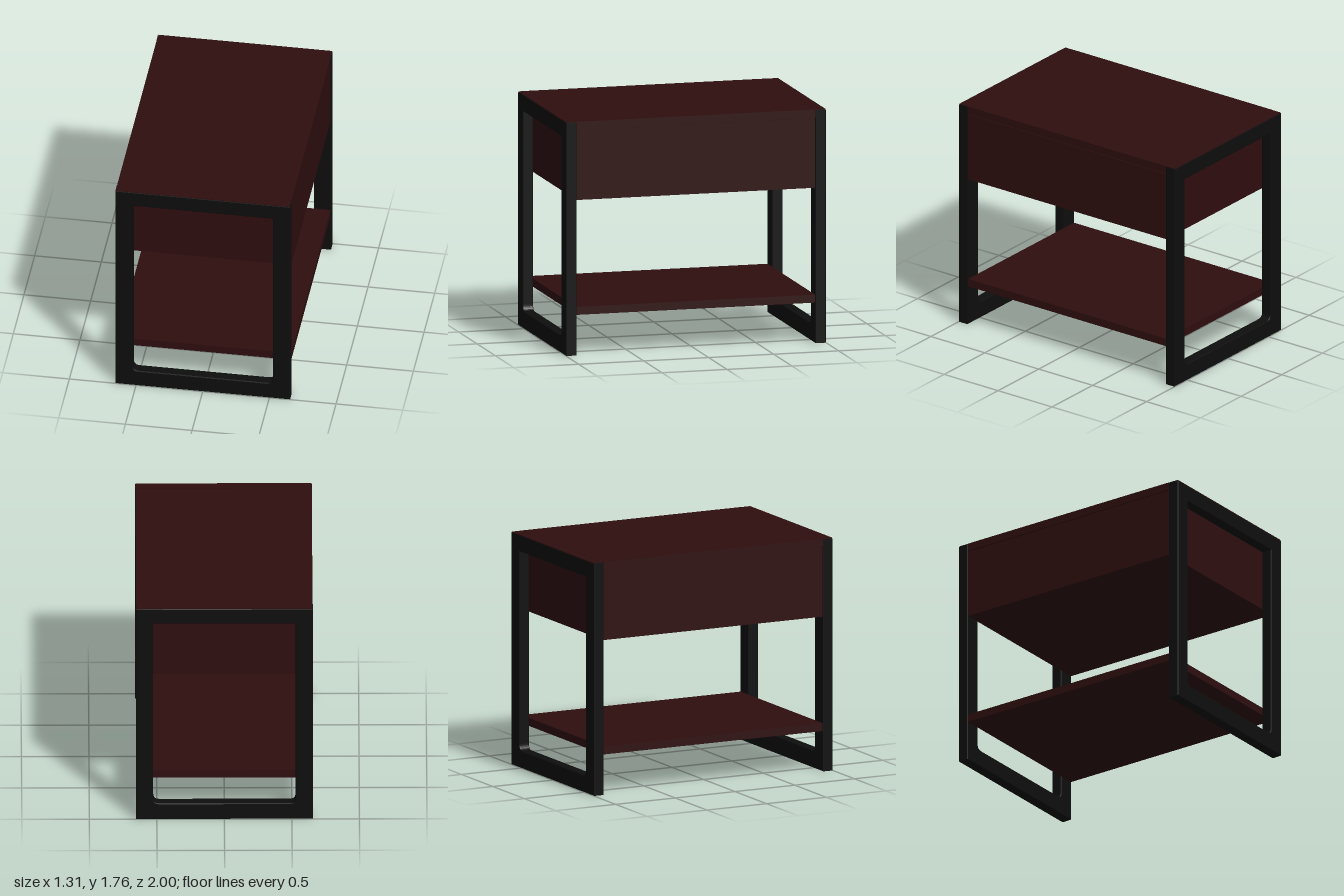
import * as THREE from 'three';

const W = 0.655;      // half width
const TOP = 1.76;     // overall height
const FRAME_IN = 0.918; // inner face of the end frames
const DEPTH = 1;      // half depth

export function createModel() {
  const wood = new THREE.MeshStandardMaterial({ color: 0x2f0e0f });
  wood.name = 'dark red wood';
  const metal = new THREE.MeshStandardMaterial({ color: 0x0e0e0e });
  metal.name = 'black metal';

  const group = new THREE.Group();
  group.name = 'sideTable';

  // Box given by its half width, vertical range and half depth
  function slab(name, hx, y0, y1, hz, z = 0) {
    const mesh = new THREE.Mesh(new THREE.BoxGeometry(hx * 2, y1 - y0, hz * 2), wood);
    mesh.position.set(0, (y0 + y1) / 2, z);
    mesh.name = name;
    group.add(mesh);
  }

  // End frame: rectangular loop with rounded lower inside corners
  const outline = new THREE.Shape();
  const h = TOP - 0.004;
  outline.moveTo(-W, 0).lineTo(W, 0).lineTo(W, h).lineTo(-W, h).closePath();
  const ix = 0.527, iy0 = 0.13, iy1 = 1.633, r = 0.045;
  const opening = new THREE.Path();
  opening.moveTo(-ix, iy1).lineTo(ix, iy1).lineTo(ix, iy0 + r);
  opening.quadraticCurveTo(ix, iy0, ix - r, iy0);
  opening.lineTo(-ix + r, iy0);
  opening.quadraticCurveTo(-ix, iy0, -ix, iy0 + r);
  opening.closePath();
  outline.holes.push(opening);

  const bevel = 0.006;
  const frameGeometry = new THREE.ExtrudeGeometry(outline, {
    depth: DEPTH - FRAME_IN - bevel * 2,
    bevelThickness: bevel, bevelSize: bevel, bevelOffset: -bevel,
    bevelSegments: 2, curveSegments: 6,
  });
  for (const side of [1, -1]) {
    const frame = new THREE.Mesh(frameGeometry, metal);
    frame.name = side > 0 ? 'frontFrame' : 'backFrame';
    frame.position.z = side > 0 ? FRAME_IN + bevel : -DEPTH + bevel;
    group.add(frame);
    // Thin wood veneer covering the top rail
    slab(side > 0 ? 'frontTopVeneer' : 'backTopVeneer', W - 0.004, h - 0.002, TOP,
      (DEPTH - FRAME_IN) / 2 - 0.002, side * (DEPTH + FRAME_IN) / 2);
  }

  // Top board, shadow gap, drawer case and lower shelf
  slab('topBoard', W - 0.002, 1.7, TOP, FRAME_IN);
  slab('shadowGap', W - 0.012, 1.69, 1.705, FRAME_IN - 0.004);
  slab('drawerCase', W - 0.004, 1.17, 1.695, FRAME_IN);
  slab('lowerShelf', W - 0.004, 0.305, 0.365, FRAME_IN);

  return group;
}
